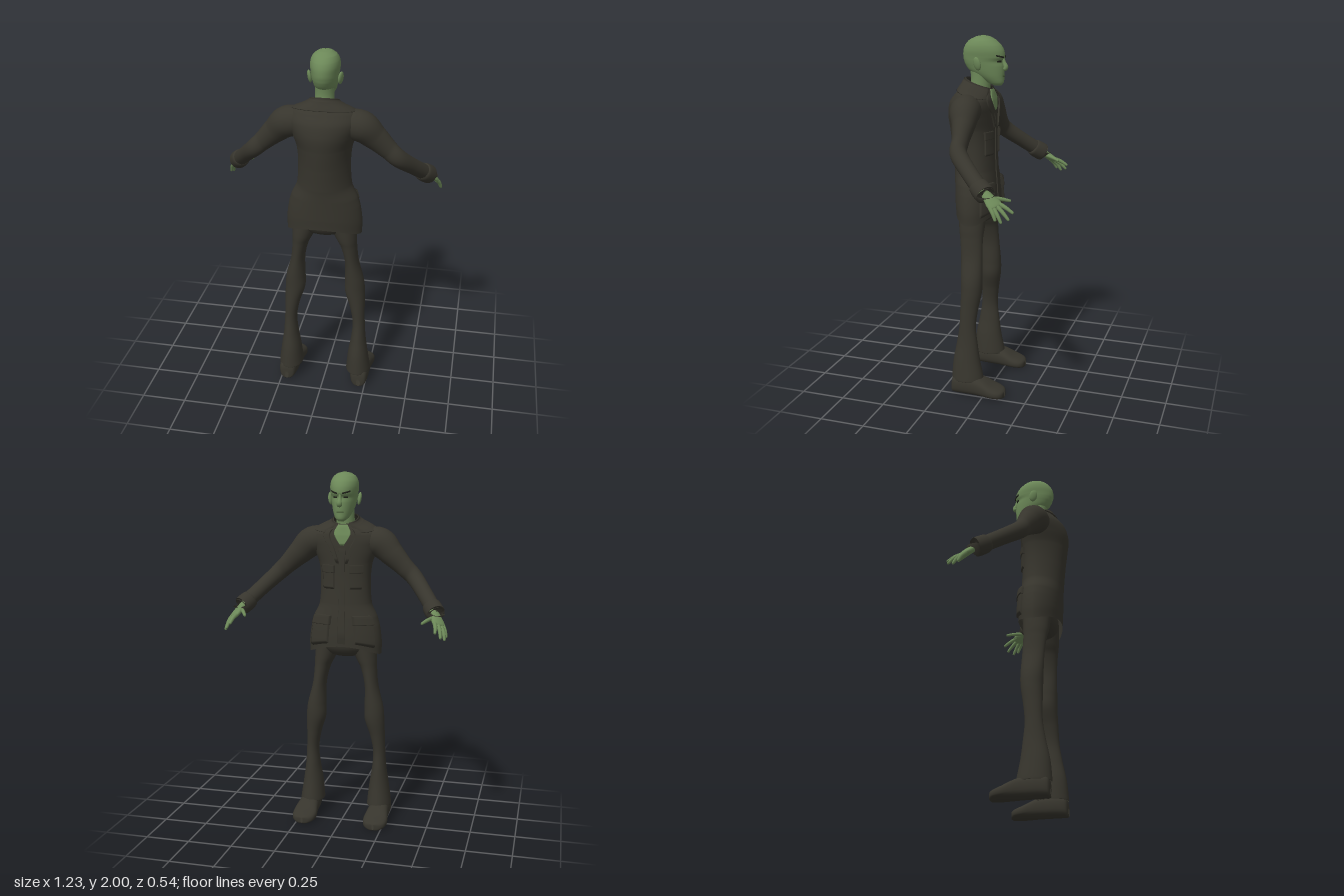
import * as THREE from 'three';
import { ParametricGeometry } from 'three/addons/geometries/ParametricGeometry.js';

const TAU = Math.PI * 2;
const clamp = THREE.MathUtils.clamp;
const material = (name, color) =>
  new THREE.MeshStandardMaterial({ name, color, side: THREE.DoubleSide });

// Smooth interpolation through rows of numbers, t from 0 to 1
function sample(rows, t) {
  const f = clamp(t, 0, 1) * (rows.length - 1);
  const i = Math.min(Math.floor(f), rows.length - 2), k = f - i;
  const at = j => rows[clamp(j, 0, rows.length - 1)];
  const [a, b, c, d] = [at(i - 1), at(i), at(i + 1), at(i + 2)];
  return b.map((q, n) => q + 0.5 * k * (c[n] - a[n] + k * (2 * a[n] - 5 * q + 4 * c[n] - d[n]
    + k * (3 * (q - c[n]) + d[n] - a[n]))));
}

// Same, looked up by the height in the first column
function sampleAt(rows, y) {
  const last = rows.length - 1;
  let i = 0;
  while (i < last - 1 && rows[i + 1][0] < y) i++;
  const k = clamp((y - rows[i][0]) / (rows[i + 1][0] - rows[i][0]), 0, 1);
  return sample(rows, (i + k) / last);
}

// Surface from fn(u, v) -> [x, y, z]; side -1 mirrors it in x
function surface(name, fn, nu, nv, mat, side = 1) {
  const geo = new ParametricGeometry((u, v, p) => {
    const [x, y, z] = fn(side > 0 ? u : 1 - u, v);
    p.set(x * side, y, z);
  }, nu, nv);
  const mesh = new THREE.Mesh(geo, mat);
  mesh.name = name;
  return mesh;
}

// Tube through rows [x, y, z, radius along axis, other radius]
function tube(name, rows, axis, mat, side = 1, nu = 16, nv = rows.length * 5) {
  const ref = new THREE.Vector3(...axis);
  return surface(name, (u, v) => {
    const [x, y, z, ra, rb] = sample(rows, v);
    const a = sample(rows, v - 0.01), b = sample(rows, v + 0.01);
    const t = new THREE.Vector3(b[0] - a[0], b[1] - a[1], b[2] - a[2]).normalize();
    const n = ref.clone().addScaledVector(t, -ref.dot(t)).normalize();
    const m = t.clone().cross(n);
    const p = new THREE.Vector3(x, y, z)
      .addScaledVector(n, ra * Math.cos(u * TAU)).addScaledVector(m, rb * Math.sin(u * TAU));
    return p.toArray();
  }, nu, nv, mat, side);
}

// Height, front z, back z, half width
const HEAD = [
  [1.735, -0.03, 0.01, 0.012], [1.75, -0.044, 0.05, 0.034], [1.78, -0.046, 0.10, 0.05],
  [1.81, -0.047, 0.145, 0.06], [1.84, -0.045, 0.168, 0.066], [1.865, -0.039, 0.178, 0.07],
  [1.885, -0.05, 0.182, 0.073], [1.92, -0.045, 0.18, 0.077], [1.95, -0.028, 0.168, 0.073],
  [1.975, 0, 0.145, 0.06], [1.992, 0.03, 0.11, 0.036], [2.0, 0.066, 0.074, 0.004],
];
const JACKET = [
  [1.04, -0.018, 0.215, 0.207], [1.1, -0.018, 0.22, 0.207], [1.2, -0.012, 0.226, 0.183],
  [1.27, -0.005, 0.232, 0.15], [1.4, 0, 0.245, 0.141], [1.5, 0, 0.258, 0.15],
  [1.58, 0, 0.265, 0.18], [1.64, 0.002, 0.25, 0.2], [1.69, 0.005, 0.21, 0.185],
  [1.72, 0.01, 0.19, 0.145], [1.75, 0.015, 0.175, 0.088], [1.765, 0.02, 0.168, 0.068],
];

// Angle 0 is the middle of the face
function headPoint(a, y, off = 0) {
  const [, f, b, r] = sampleAt(HEAD, y);
  return [-(r + off) * Math.sin(a), y, (f + b) / 2 - ((b - f) / 2 + off) * Math.cos(a)];
}

// The back comes to a soft ridge; the hem dips at the sides and the neckline slopes forward
function jacketPoint(a, y, off = 0) {
  const [, f, b, r] = sampleAt(JACKET, y);
  const c = Math.cos(a), s = Math.sin(a), mid = 0.1;
  const z = c > 0 ? mid - (mid - f) * c ** 0.85 : mid + (b - mid) * (-c) ** 1.2;
  const hem = clamp((1.16 - y) / 0.12, 0, 1) * 0.05 * s * s;
  const neck = clamp((y - 1.6) / 0.15, 0, 1) * (z - 0.15) * 0.35;
  return [-r * s - off * s, y - hem + neck, z - off * c];
}

// Raised panel lying on a body surface; a0 and a1 may vary with height v
function patch(name, base, a0, a1, y0, y1, off, mat, side = 1, tilt = 0, n = 14) {
  const val = (q, v) => (typeof q === 'function' ? q(v) : q);
  return surface(name, (u, v) => {
    const edge = Math.min(u, 1 - u, v, 1 - v);
    const lift = -0.002 + (off + 0.002) * Math.min(1, edge * n);
    const a = THREE.MathUtils.lerp(val(a0, v), val(a1, v), u);
    return base(a, y0 + (y1 - y0) * v + tilt * u, lift);
  }, n * 2, n, mat, side);
}

export function createModel() {
  const skin = material('green skin', 0x6c8858);
  const cloth = material('dark cloth', 0x37352d);
  const dark = material('dark features', 0x20231a);
  const lip = material('lip green', 0x50653f);
  const model = new THREE.Group();
  model.name = 'figure';
  const add = (...parts) => model.add(...parts);

  // Head and neck
  add(surface('head', (u, v) => headPoint(u * TAU, 1.735 + 0.265 * Math.sin(v * Math.PI / 2)), 32, 48, skin));
  add(tube('neck', [[0, 1.6, 0.1, 0.06, 0.07], [0, 1.68, 0.095, 0.054, 0.062],
    [0, 1.76, 0.085, 0.05, 0.054], [0, 1.83, 0.085, 0.05, 0.06]], [1, 0, 0], skin, 1, 24));
  add(tube('nose', [[0, 1.89, -0.04, 0.006, 0.006], [0, 1.86, -0.046, 0.009, 0.01],
    [0, 1.835, -0.056, 0.014, 0.013], [0, 1.822, -0.05, 0.014, 0.011], [0, 1.815, -0.042, 0.002, 0.002]],
  [1, 0, 0], skin));
  add(patch('mouth', headPoint, -0.4, 0.4, 1.782, 1.79, 0.003, lip));

  // Jacket body, front strip, open neck and turned down collar
  add(surface('jacket', (u, v) => jacketPoint(u * TAU, 1.04 + 0.725 * v), 56, 60, cloth));
  add(patch('frontStrip', jacketPoint, -0.12, 0.12, 1.045, 1.6, 0.005, cloth));
  add(patch('openNeck', jacketPoint, v => -0.04 - 0.4 * v, v => 0.04 + 0.4 * v, 1.6, 1.765, 0.004, skin));
  add(patch('collar', jacketPoint, 0.5, TAU - 0.5, 1.7, 1.768, 0.009, cloth, 1, 0, 24));

  // Seat of the trousers
  const seat = new THREE.Mesh(new THREE.SphereGeometry(1, 28, 18), cloth);
  seat.name = 'trouserSeat';
  seat.scale.set(0.165, 0.09, 0.1);
  seat.position.set(0, 1.055, 0.095);
  add(seat);

  // Height, inner x, outer x, front z, back z
  const LEG = [
    [0.085, 0.132, 0.27, -0.03, 0.195], [0.1, 0.132, 0.27, -0.03, 0.195], [0.2, 0.142, 0.256, 0.032, 0.186],
    [0.3, 0.158, 0.242, 0.045, 0.166], [0.4, 0.165, 0.235, 0.055, 0.15], [0.5, 0.148, 0.232, 0.045, 0.147],
    [0.6, 0.117, 0.23, 0.028, 0.146], [0.68, 0.115, 0.222, 0.025, 0.148], [0.8, 0.115, 0.192, 0.03, 0.152],
    [0.9, 0.092, 0.182, 0.032, 0.162], [0.96, 0.062, 0.18, 0.028, 0.172], [1.08, 0.01, 0.17, 0.02, 0.18],
  ];
  LEG[0][3] = LEG[1][3] = 0.012;

  // Shoe: z, half width, height, centre x
  const SHOE = [
    [0.192, 0.012, 0.04, 0.215], [0.18, 0.042, 0.1, 0.214], [0.13, 0.054, 0.115, 0.212],
    [0.05, 0.058, 0.11, 0.21], [0, 0.064, 0.095, 0.21], [-0.05, 0.07, 0.07, 0.21],
    [-0.09, 0.062, 0.055, 0.21], [-0.113, 0.04, 0.045, 0.21], [-0.122, 0.006, 0.03, 0.21],
  ];
  const soft = q => Math.sign(q) * Math.abs(q) ** 0.75;

  for (const s of [1, -1]) {
    const side = s > 0 ? 'left' : 'right';

    // Eyes, brows and ears
    add(patch(side + 'Eye', headPoint, -0.62, -0.25, 1.86, 1.87, 0.003, dark, s));
    add(patch(side + 'Brow', headPoint, -0.78, -0.18, 1.893, 1.902, 0.004, dark, s, -0.012));
    const ear = new THREE.Mesh(new THREE.SphereGeometry(1, 16, 12), skin);
    ear.name = side + 'Ear';
    ear.scale.set(0.011, 0.036, 0.023);
    ear.position.set(0.081 * s, 1.855, 0.078);
    ear.rotation.set(0.2, -0.35 * s, -0.1 * s);
    add(ear);

    // Lapel and pockets
    add(patch(side + 'Lapel', jacketPoint, v => -0.2 - 0.5 * v, v => -0.1 - 0.36 * v, 1.5, 1.74, 0.009, cloth, s));
    add(patch(side + 'ChestPocket', jacketPoint, -0.85, -0.3, 1.36, 1.47, 0.009, cloth, s));
    add(patch(side + 'ChestFlap', jacketPoint, -0.88, -0.27, 1.45, 1.495, 0.014, cloth, s));
    add(patch(side + 'HipPocket', jacketPoint, -1.05, -0.35, 1.06, 1.19, 0.012, cloth, s));
    add(patch(side + 'HipFlap', jacketPoint, -1.08, -0.32, 1.16, 1.215, 0.018, cloth, s));

    // Sleeve and cuff
    add(tube(side + 'Sleeve', [
      [0.08, 1.625, 0.115, 0.07, 0.07], [0.19, 1.615, 0.108, 0.084, 0.082], [0.265, 1.552, 0.092, 0.068, 0.062],
      [0.335, 1.485, 0.083, 0.053, 0.045], [0.392, 1.432, 0.073, 0.048, 0.045],
      [0.46, 1.36, -0.005, 0.043, 0.043], [0.53, 1.282, -0.1, 0.042, 0.042],
    ], [0, 1, 0], cloth, s, 24));
    add(tube(side + 'Cuff', [
      [0.505, 1.308, -0.068, 0.038, 0.038], [0.512, 1.3, -0.077, 0.05, 0.05],
      [0.537, 1.273, -0.115, 0.052, 0.052], [0.541, 1.269, -0.121, 0.046, 0.046],
      [0.535, 1.275, -0.113, 0.02, 0.02],
    ], [0, 1, 0], cloth, s, 24));

    // Hand
    const across = [0.7, -0.3, 0.45];
    add(tube(side + 'Palm', [
      [0.525, 1.285, -0.1, 0.026, 0.02], [0.545, 1.257, -0.138, 0.029, 0.019],
      [0.558, 1.236, -0.165, 0.039, 0.017], [0.568, 1.22, -0.186, 0.036, 0.013],
      [0.571, 1.215, -0.192, 0.01, 0.005],
    ], across, skin, s));
    const fingers = {
      Thumb: [[0.535, 1.252, -0.146], [0.51, 1.246, -0.188], [0.486, 1.234, -0.232]],
      IndexFinger: [[0.544, 1.235, -0.182], [0.555, 1.217, -0.23], [0.559, 1.194, -0.268]],
      MiddleFinger: [[0.559, 1.229, -0.178], [0.577, 1.2, -0.22], [0.586, 1.166, -0.254]],
      RingFinger: [[0.573, 1.222, -0.17], [0.594, 1.188, -0.2], [0.603, 1.152, -0.222]],
      LittleFinger: [[0.584, 1.218, -0.16], [0.599, 1.192, -0.18], [0.608, 1.162, -0.194]],
    };
    for (const [name, [a, b, c]] of Object.entries(fingers)) {
      const tip = c.map((q, i) => q + (c[i] - b[i]) * 0.08);
      add(tube(side + name, [[...a, 0.012, 0.012], [...b, 0.0105, 0.0105], [...c, 0.007, 0.007],
        [...tip, 0.001, 0.001]], across, skin, s, 10));
    }

    // Flared trouser leg
    add(surface(side + 'TrouserLeg', (u, v) => {
      const [y, xi, xo, zf, zb] = sample(LEG, v), a = u * TAU;
      return [(xi + xo) / 2 - (xo - xi) / 2 * Math.sin(a), y, (zf + zb) / 2 - (zb - zf) / 2 * Math.cos(a)];
    }, 28, 44, cloth, s));

    // Shoe with a flat sole
    add(surface(side + 'Shoe', (u, v) => {
      const [z, w, h, x] = sample(SHOE, v), a = -u * TAU;
      return [x + w * soft(Math.cos(a)), 0.008 * Math.max(0, 1 - w / 0.04) + h / 2 * (1 + soft(Math.sin(a))), z];
    }, 28, 32, cloth, s));
  }
  return model;
}
